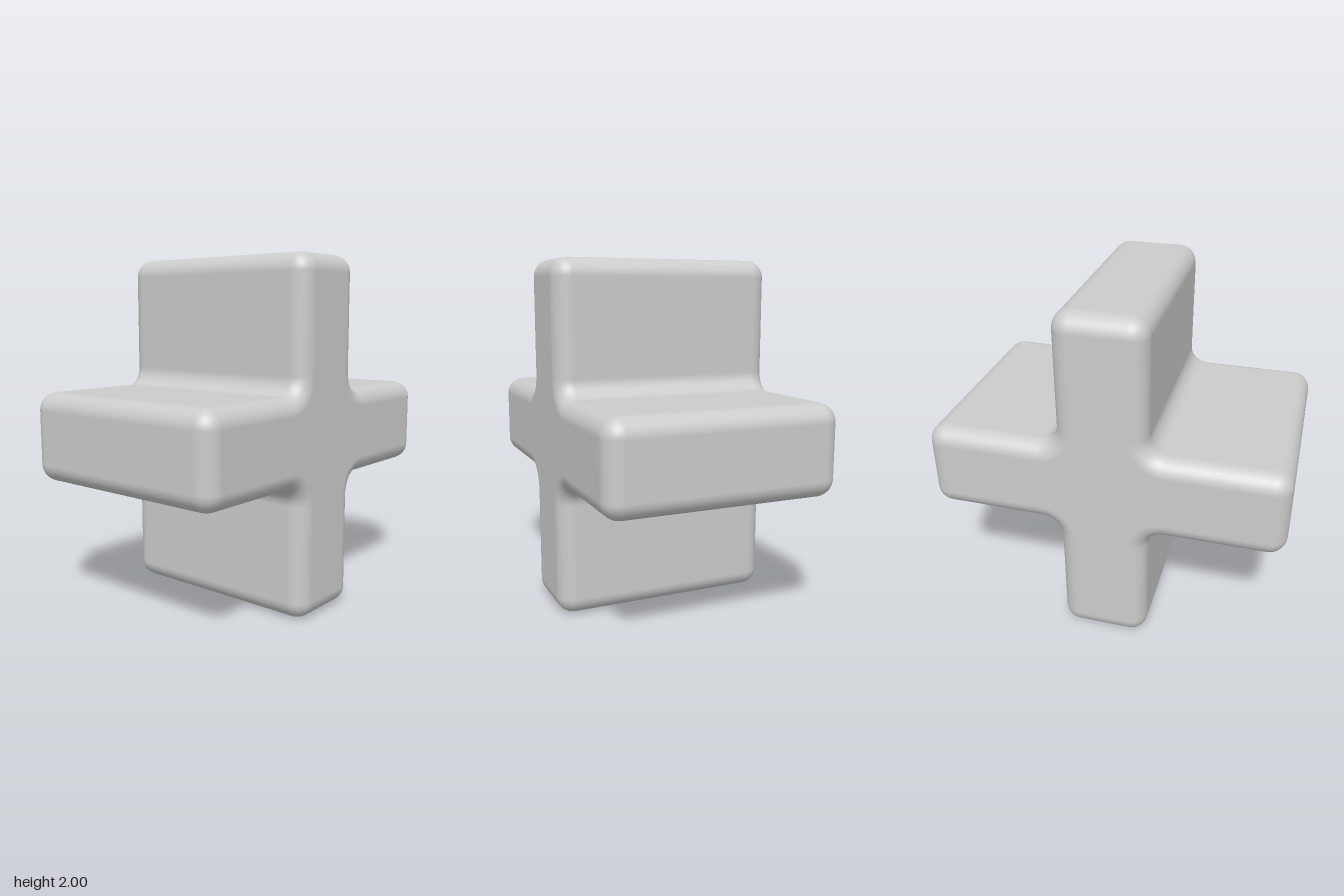
import * as THREE from 'three';

const R = 0.1;            // rounding radius of edges and inner fillets
const ARM = 1;            // arm reach from the centre
const HALF = 0.25;        // half the arm thickness
const DEPTH = 0.65;       // half the depth
const STEPS = 8;          // segments per quarter arc

// Cross outline, counter-clockwise, as points with outward normals
function crossOutline() {
  const pts = [];
  const arc = (cx, cy, from, to, sign, turn) => {
    const centre = new THREE.Vector2(cx, cy);
    for (let i = 0; i <= STEPS; i++) {
      const a = THREE.MathUtils.degToRad(from + (to - from) * i / STEPS);
      const n = new THREE.Vector2(Math.cos(a), Math.sin(a));
      const p = n.clone().multiplyScalar(sign * R).add(centre);
      const origin = new THREE.Vector2();
      pts.push({ p: p.rotateAround(origin, turn), n: n.rotateAround(origin, turn) });
    }
  };
  for (let k = 0; k < 4; k++) {
    const turn = k * Math.PI / 2;
    arc(ARM - R, R - HALF, -90, 0, 1, turn);       // lower tip corner
    arc(ARM - R, HALF - R, 0, 90, 1, turn);        // upper tip corner
    arc(HALF + R, HALF + R, 90, 0, -1, turn);      // inner fillet
  }
  return pts;
}

// Side wall: outline loops along z, drawn in along a quarter round at both ends
function wallGeometry(outline) {
  const rings = [];
  for (const side of [-1, 1]) {
    for (let i = 0; i <= STEPS; i++) {
      const t = (side < 0 ? i - STEPS : i) / STEPS * Math.PI / 2;
      rings.push({ z: side * (DEPTH - R) + R * Math.sin(t), inset: R * (1 - Math.cos(t)), t });
    }
  }
  const pos = [], nor = [], idx = [];
  const count = outline.length;
  rings.forEach(({ z, inset, t }, j) => {
    outline.forEach(({ p, n }, i) => {
      pos.push(p.x - n.x * inset, p.y - n.y * inset, z);
      nor.push(n.x * Math.cos(t), n.y * Math.cos(t), Math.sin(t));
      if (j === rings.length - 1) return;
      const a = j * count + i, b = j * count + (i + 1) % count;
      idx.push(a, b, b + count, a, b + count, a + count);
    });
  });
  const geo = new THREE.BufferGeometry();
  geo.setAttribute('position', new THREE.Float32BufferAttribute(pos, 3));
  geo.setAttribute('normal', new THREE.Float32BufferAttribute(nor, 3));
  geo.setIndex(idx);
  return geo;
}

// Flat end: the outline fully drawn in, without the collapsed corner points
function capGeometry(outline) {
  const pts = [];
  for (const { p, n } of outline) {
    const q = p.clone().addScaledVector(n, -R);
    if (!pts.length || q.distanceTo(pts[pts.length - 1]) > 1e-4) pts.push(q);
  }
  return new THREE.ShapeGeometry(new THREE.Shape(pts));
}

export function createModel() {
  const model = new THREE.Group();
  model.name = 'roundedCross';
  const material = new THREE.MeshStandardMaterial({ color: 0xcccccc });
  const outline = crossOutline();

  const add = (name, geometry, z, turn) => {
    const mesh = new THREE.Mesh(geometry, material);
    mesh.name = name;
    mesh.position.set(0, 1, z);
    mesh.rotation.y = turn;
    model.add(mesh);
  };
  add('crossWall', wallGeometry(outline), 0, 0);
  const cap = capGeometry(outline);
  add('frontFace', cap, DEPTH, 0);
  add('backFace', cap, -DEPTH, Math.PI);
  return model;
}
